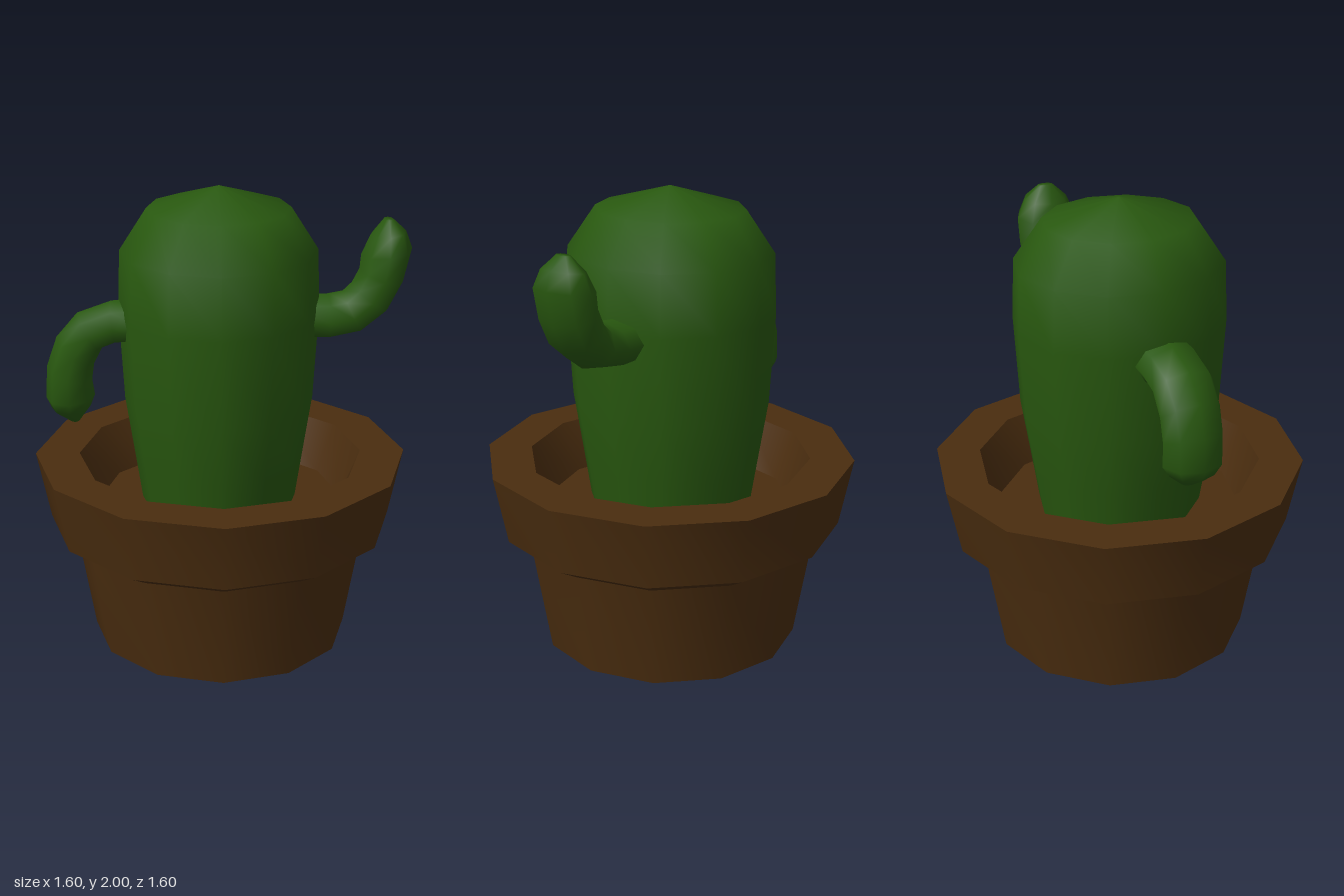
import * as THREE from 'three';
import { toCreasedNormals } from 'three/addons/utils/BufferGeometryUtils.js';

const SIDES = 12;
const green = new THREE.MeshStandardMaterial({ name: 'cactusGreen', color: 0x28570f });
const brown = new THREE.MeshStandardMaterial({ name: 'potBrown', color: 0x4a2d0f });

function part(name, geometry, material) {
  const mesh = new THREE.Mesh(geometry, material);
  mesh.name = name;
  return mesh;
}

const lathe = (points) =>
  new THREE.LatheGeometry(points.map(([r, y]) => new THREE.Vector2(r, y)), SIDES);

// Loft of elliptical rings; each ring is [outerX, outerY, innerX, innerY, halfDepth]
function armGeometry(rings, z0, sides = 8) {
  const pos = [];
  const index = [];
  for (const [ox, oy, ix, iy, depth] of rings) {
    const cx = (ox + ix) / 2, cy = (oy + iy) / 2;
    for (let j = 0; j < sides; j++) {
      const a = (j / sides) * Math.PI * 2;
      pos.push(cx + (ox - cx) * Math.cos(a), cy + (oy - cy) * Math.cos(a), z0 + depth * Math.sin(a));
    }
  }
  for (let i = 0; i < rings.length - 1; i++) {
    for (let j = 0; j < sides; j++) {
      const k = (j + 1) % sides;
      const a = i * sides + j, b = a + sides, c = i * sides + k, d = c + sides;
      index.push(a, b, c, b, d, c);
    }
  }
  // Tip cap
  const last = (rings.length - 1) * sides;
  const [ox, oy, ix, iy] = rings[rings.length - 1];
  pos.push((ox + ix) / 2, (oy + iy) / 2, z0);
  for (let j = 0; j < sides; j++) index.push(last + j, last + sides, last + ((j + 1) % sides));

  const g = new THREE.BufferGeometry();
  g.setAttribute('position', new THREE.Float32BufferAttribute(pos, 3));
  g.setIndex(index);
  g.computeVertexNormals();
  return g;
}

export function createModel() {
  const model = new THREE.Group();
  model.name = 'pottedCactus';

  // Pot: tapered body, overhanging collar, flat rim and inner wall
  const pot = lathe([
    [0.557, 0], [0.637, 0.47], [0.74, 0.53], [0.8, 0.825], [0.61, 0.825], [0.52, 0.62],
  ]);
  model.add(part('pot', toCreasedNormals(pot, 0.6), brown));

  // Pot base and soil discs, turned to match the pot's corners
  const base = new THREE.CircleGeometry(0.557, SIDES).rotateX(Math.PI / 2);
  model.add(part('potBase', base, brown));
  const soil = new THREE.CircleGeometry(0.52, SIDES).rotateX(-Math.PI / 2);
  soil.translate(0, 0.62, 0);
  model.add(part('soil', soil, brown));

  // Trunk: slightly narrower from side to side
  const trunk = part('trunk', lathe([
    [0.355, 0.6], [0.39, 0.82], [0.432, 1.08], [0.455, 1.47],
    [0.445, 1.73], [0.322, 1.908], [0, 2],
  ]), green);
  trunk.scale.x = 0.93;
  trunk.position.x = -0.005;
  model.add(trunk);

  // Left arm bends upward
  model.add(part('leftArm', armGeometry([
    [0.3, 1.34, 0.3, 1.53, 0.135],
    [0.46, 1.34, 0.46, 1.53, 0.135],
    [0.6, 1.37, 0.515, 1.54, 0.135],
    [0.71, 1.46, 0.555, 1.58, 0.135],
    [0.77, 1.58, 0.585, 1.64, 0.135],
    [0.803, 1.725, 0.59, 1.7, 0.135],
    [0.775, 1.8, 0.625, 1.78, 0.1],
    [0.72, 1.85, 0.68, 1.85, 0.035],
  ], -0.022), green));

  // Right arm droops downward
  model.add(part('rightArm', armGeometry([
    [-0.3, 1.53, -0.3, 1.345, 0.133],
    [-0.46, 1.515, -0.44, 1.335, 0.133],
    [-0.6, 1.465, -0.5, 1.31, 0.133],
    [-0.69, 1.36, -0.535, 1.24, 0.133],
    [-0.735, 1.23, -0.545, 1.17, 0.133],
    [-0.743, 1.09, -0.535, 1.1, 0.133],
    [-0.72, 1.04, -0.555, 1.05, 0.1],
    [-0.64, 0.985, -0.6, 0.988, 0.035],
  ], 0.012), green));

  return model;
}
